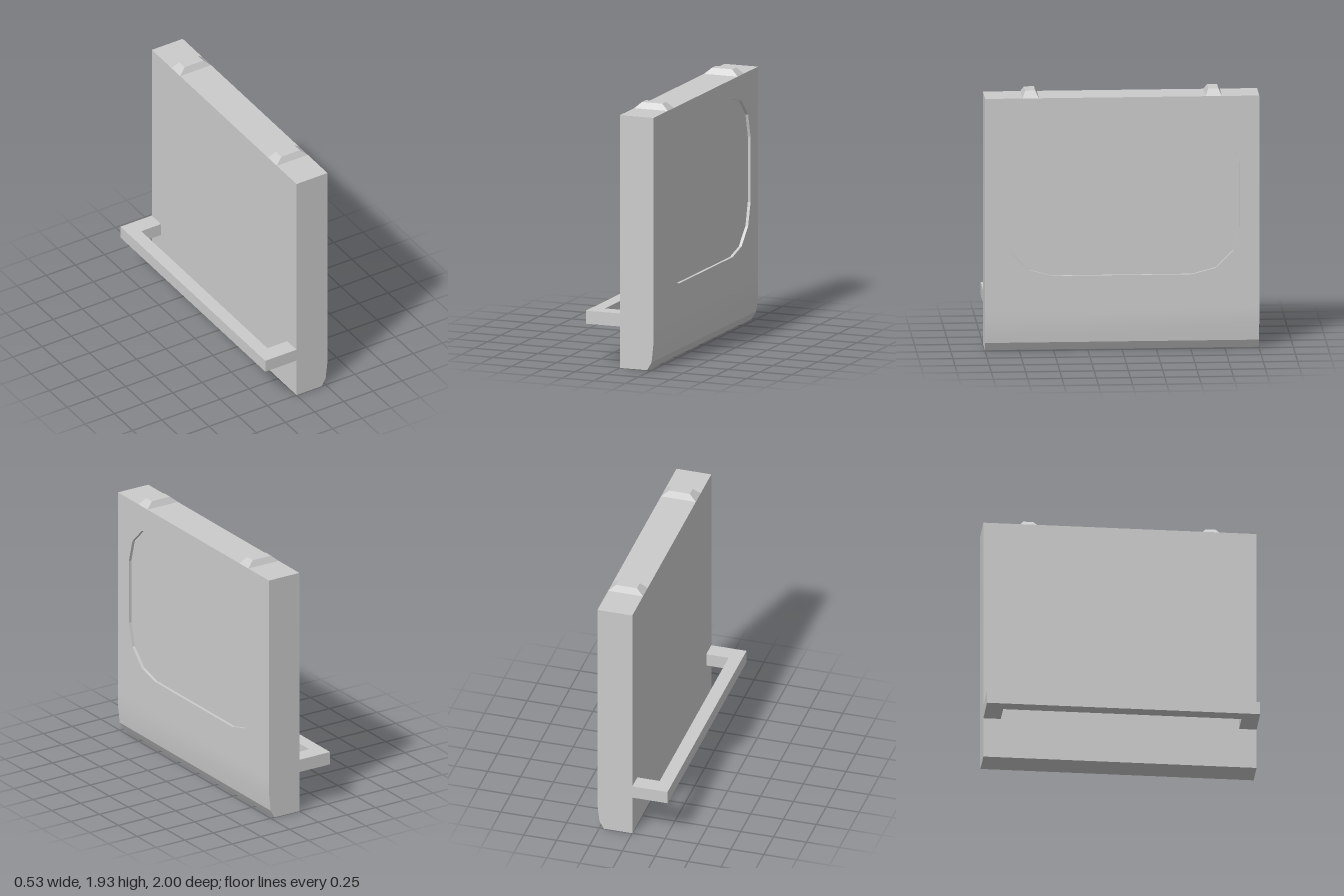
import * as THREE from 'three';
import { toCreasedNormals } from 'three/addons/utils/BufferGeometryUtils.js';

const material = new THREE.MeshStandardMaterial({ color: 0xcccccc });

function polygon(points) {
  return new THREE.Shape(points.map(([x, y]) => new THREE.Vector2(x, y)));
}

function extrude(shape, depth) {
  return new THREE.ExtrudeGeometry(shape, { depth, bevelEnabled: false });
}

// Rounded rectangle with faceted corners
function roundedOutline(halfW, bottom, top, radius, segments) {
  const points = [];
  const centres = [
    [halfW - radius, top - radius], [radius - halfW, top - radius],
    [radius - halfW, bottom + radius], [halfW - radius, bottom + radius],
  ];
  centres.forEach(([cx, cy], corner) => {
    for (let i = 0; i <= segments; i++) {
      const a = (corner + i / segments) * Math.PI / 2;
      points.push(new THREE.Vector2(cx + radius * Math.cos(a), cy + radius * Math.sin(a)));
    }
  });
  return points;
}

export function createModel() {
  const group = new THREE.Group();
  const add = (name, geometry) => {
    const mesh = new THREE.Mesh(geometry, material);
    mesh.name = name;
    group.add(mesh);
    return mesh;
  };

  const thick = 0.265, top = 1.88, floorX = 0.243, step = 0.3;

  // Panel body with its chamfered lower edge; its upper part is the recess floor
  const body = extrude(polygon([
    [0, 0], [0.215, 0], [0.25, 0.06], [thick, 0.2], [thick, step],
    [floorX, step], [floorX, top], [0, top],
  ]), 2);
  body.translate(0, 0, -1);
  add('panelBody', toCreasedNormals(body, 0.3));

  // Face plate whose opening forms the shallow recess
  const plate = polygon([[-1, step], [1, step], [1, top], [-1, top]]);
  plate.holes.push(new THREE.Path(roundedOutline(0.855, 0.556, 1.733, 0.345, 3)));
  const plateGeometry = extrude(plate, thick - floorX);
  plateGeometry.rotateY(Math.PI / 2);
  plateGeometry.translate(floorX, 0, 0);
  add('facePlate', plateGeometry);

  // U-shaped bracket on the other side
  const bracket = extrude(polygon([
    [0, -1], [0, -0.872], [-0.17, -0.872], [-0.17, 0.872],
    [0, 0.872], [0, 1], [-0.268, 1], [-0.268, -1],
  ]), 0.097);
  bracket.rotateX(-Math.PI / 2);
  bracket.translate(0, 0.308, 0);
  add('bracket', bracket);

  // Tapered locating tabs on the top edge
  for (const side of [-1, 1]) {
    const tab = new THREE.BoxGeometry(thick, 0.046, 0.12);
    const p = tab.attributes.position;
    for (let i = 0; i < p.count; i++) {
      if (p.getY(i) > 0) {
        p.setX(i, p.getX(i) * 0.6);
        p.setZ(i, p.getZ(i) * 0.61);
      }
    }
    tab.computeVertexNormals();
    add(side > 0 ? 'frontTab' : 'rearTab', tab)
      .position.set(thick / 2, top + 0.023, side * 0.668);
  }

  return group;
}
